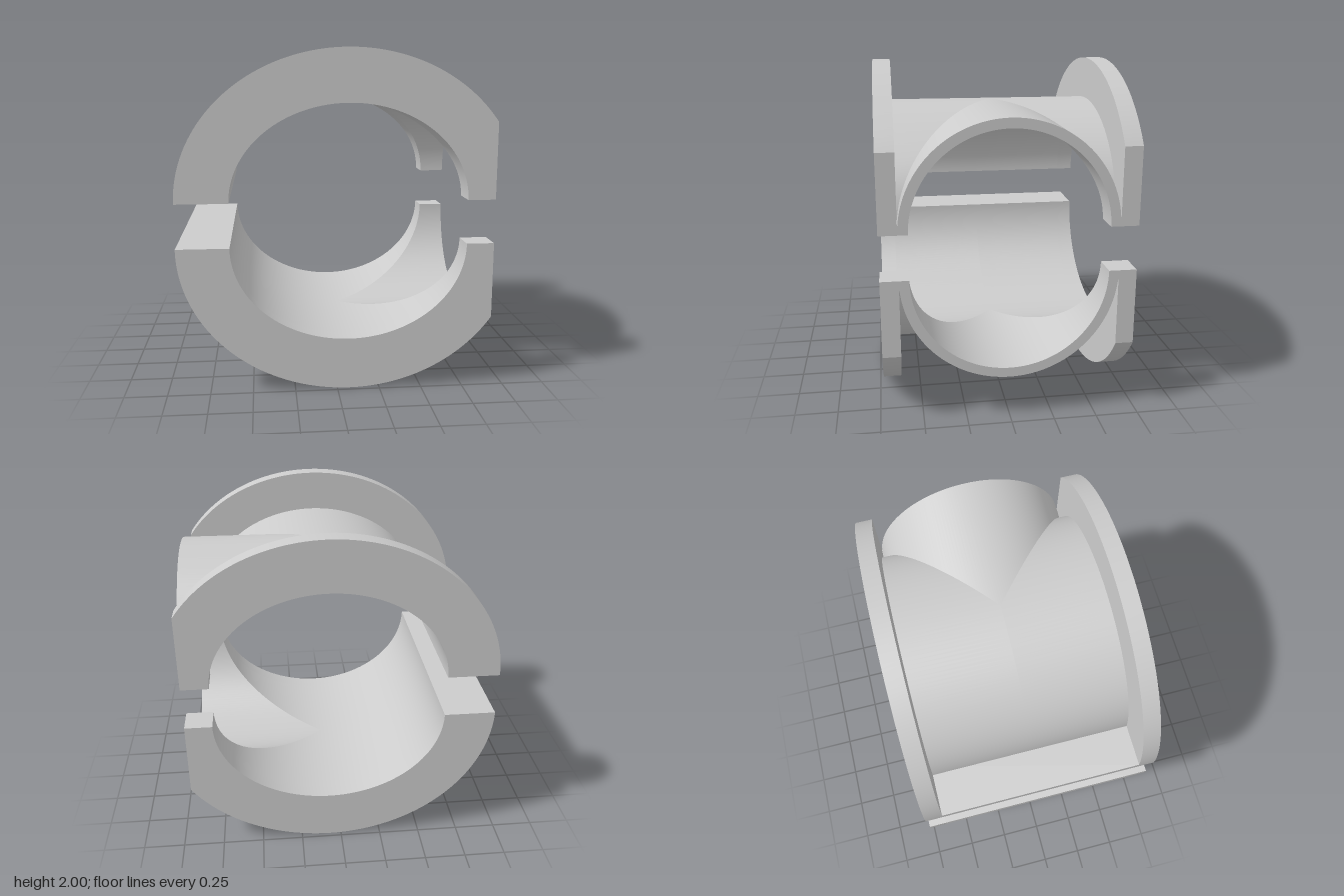
import * as THREE from 'three';
import { toCreasedNormals } from 'three/addons/utils/BufferGeometryUtils.js';

const CX = 0.07;               // axis of the main bore
const Y0 = 1.13;               // split plane of the upper half
const END = 0.925;             // cut-off plane at the branch mouth
const LEFT = -0.93;
const WALL_Z = 0.62, FLANGE_Z = 0.725;
const INNER = { rx: 0.692, r: 0.563 };
const OUTER = { rx: 0.75, r: 0.62 };
const FLANGE = { rx: 1.0, r: 0.87 };
const SEG = 96;

const material = new THREE.MeshStandardMaterial({ color: 0xcccccc });

function add(group, name, geometry) {
  const mesh = new THREE.Mesh(geometry, material);
  mesh.name = name;
  group.add(mesh);
  return mesh;
}

// Surface of straight lines between two curves a(t), b(t), t = 0..PI
function ruled(a, b, flip) {
  const pos = [], index = [];
  for (let i = 0; i <= SEG; i++) {
    const t = (i / SEG) * Math.PI;
    pos.push(...a(t), ...b(t));
    if (i === SEG) break;
    const k = 2 * i;
    if (flip) index.push(k, k + 2, k + 1, k + 1, k + 2, k + 3);
    else index.push(k, k + 1, k + 2, k + 1, k + 3, k + 2);
  }
  const g = new THREE.BufferGeometry();
  g.setAttribute('position', new THREE.Float32BufferAttribute(pos, 3));
  g.setIndex(index);
  g.computeVertexNormals();
  return g;
}

// Main bore skin on one side of z = 0, cut along the mitre with the branch
function mainSkin({ rx, r }, side, outward) {
  const at = (t, z) => [CX + rx * Math.cos(t), Y0 + r * Math.sin(t), side * z];
  return ruled(
    (t) => at(t, Math.max(0, r * Math.cos(t))),
    (t) => at(t, WALL_Z),
    outward === side > 0
  );
}

// Branch skin from the mitre to the mouth
function branchSkin({ rx, r }, outward) {
  const at = (t, x) => [x, Y0 + r * Math.sin(t), r * Math.cos(t)];
  return ruled(
    (t) => at(t, CX + rx * Math.abs(Math.cos(t))),
    (t) => at(t, END),
    !outward
  );
}

// Half-oval end plate with an oval opening, trimmed at the mouth plane
function flangeGeometry() {
  const s = new THREE.Shape();
  const start = Math.acos((END - CX) / FLANGE.rx);
  s.moveTo(CX + INNER.rx, Y0);
  s.lineTo(END, Y0);
  for (let i = 0; i <= SEG; i++) {
    const t = start + (i / SEG) * (Math.PI - start);
    s.lineTo(CX + FLANGE.rx * Math.cos(t), Y0 + FLANGE.r * Math.sin(t));
  }
  for (let i = 0; i < SEG; i++) {
    const t = Math.PI * (1 - i / SEG);
    s.lineTo(CX + INNER.rx * Math.cos(t), Y0 + INNER.r * Math.sin(t));
  }
  const g = new THREE.ExtrudeGeometry(s, { depth: FLANGE_Z - WALL_Z, bevelEnabled: false });
  return toCreasedNormals(g, 0.4);
}

function box(x0, x1, y0, y1, z0, z1) {
  return new THREE.BoxGeometry(x1 - x0, y1 - y0, z1 - z0)
    .translate((x0 + x1) / 2, (y0 + y1) / 2, (z0 + z1) / 2);
}

function buildHalf(name) {
  const half = new THREE.Group();
  half.name = name;

  for (const side of [1, -1]) {
    add(half, 'mainWallOuter', mainSkin(OUTER, side, true));
    add(half, 'mainWallInner', mainSkin(INNER, side, false));
    add(half, 'endFlange', flangeGeometry()).position.z = side > 0 ? WALL_Z : -FLANGE_Z;
    // corner foot beside the branch mouth
    const z = [side * INNER.r, side * WALL_Z].sort((a, b) => a - b);
    add(half, 'cornerFoot', box(CX + INNER.rx, END, Y0, Y0 + 0.055, z[0], z[1]));
  }

  add(half, 'branchWallOuter', branchSkin(OUTER, true));
  add(half, 'branchWallInner', branchSkin(INNER, false));

  // flat rim of the branch mouth
  const rim = new THREE.RingGeometry(INNER.r, OUTER.r, SEG, 1, 0, Math.PI)
    .rotateY(Math.PI / 2).translate(END, Y0, 0);
  add(half, 'branchRim', rim);

  // long ledge along the split line
  add(half, 'sideLedge', box(LEFT, CX - INNER.rx, Y0, Y0 + 0.055, -WALL_Z, WALL_Z));
  return half;
}

export function createModel() {
  const model = new THREE.Group();
  model.name = 'splitTeeClamp';
  model.add(buildHalf('upperHalf'));

  // the lower half is the same shell turned over
  const lower = buildHalf('lowerHalf');
  lower.rotation.x = Math.PI;
  lower.position.y = 2;
  model.add(lower);
  return model;
}
